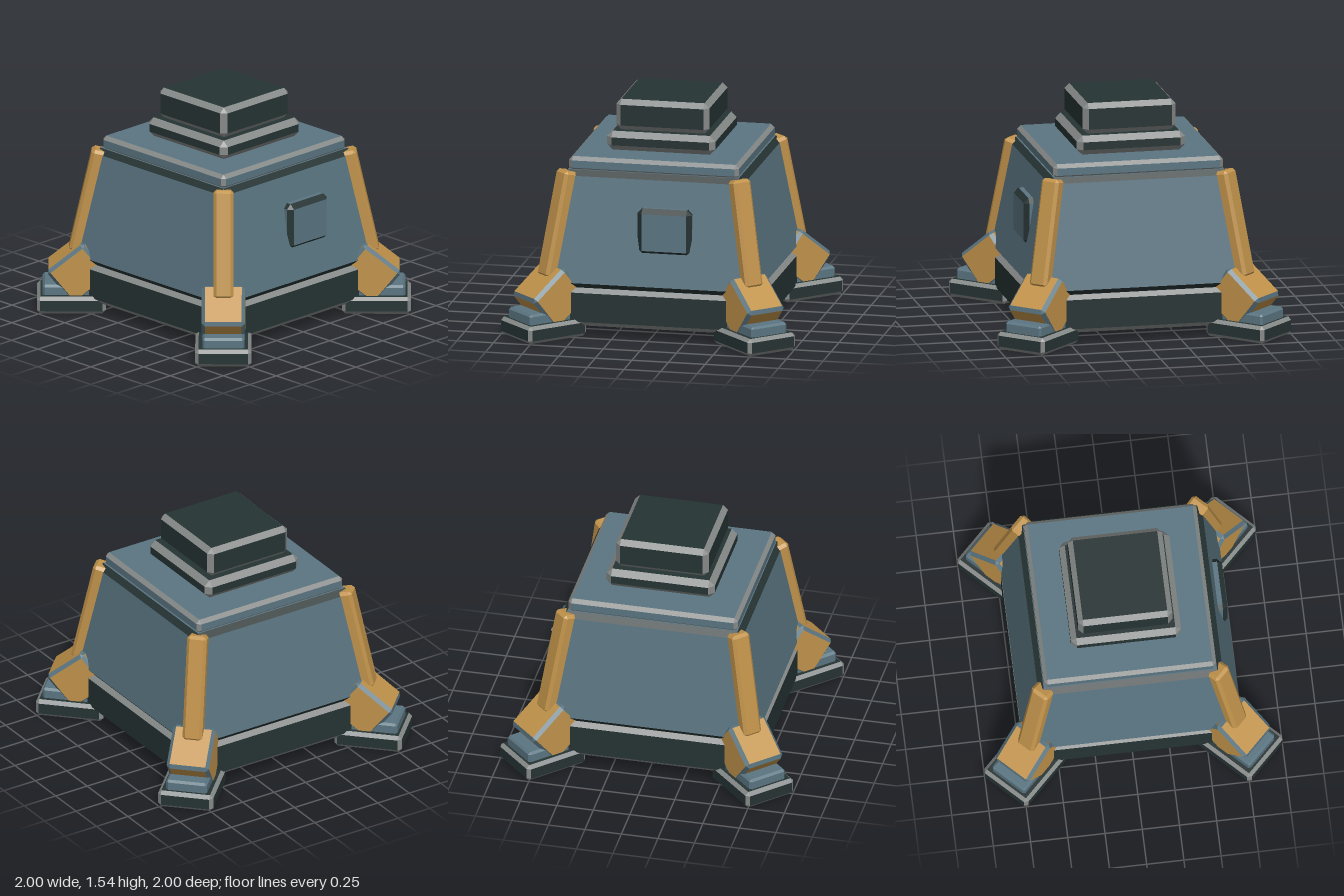
import * as THREE from 'three';

const mat = (name, color) => {
  const m = new THREE.MeshStandardMaterial({ color });
  m.name = name;
  return m;
};

// Box with chamfered edges: faces take material 0, chamfers material 1.
// taper narrows x and z towards the top.
function chamferBox(w, h, d, c, taper = 0) {
  const half = [w / 2, h / 2, d / 2];
  const pos = [];
  const point = (signs, axis) => {
    const p = half.map((v, i) => signs[i] * (i === axis ? v : v - c));
    const k = 1 - taper * p[1];
    return new THREE.Vector3(p[0] * k, p[1], p[2] * k);
  };
  const tri = (a, b, e) => {
    const n = b.clone().sub(a).cross(e.clone().sub(a));
    const list = n.dot(a) > 0 ? [a, b, e] : [a, e, b];
    list.forEach((v) => pos.push(v.x, v.y, v.z));
  };
  const quad = (a, b, e, f) => { tri(a, b, e); tri(a, e, f); };
  const signs = (entries) => {
    const s = [0, 0, 0];
    entries.forEach(([axis, v]) => { s[axis] = v; });
    return s;
  };
  // six main faces
  for (let a = 0; a < 3; a++) for (const s of [-1, 1]) {
    const u = (a + 1) % 3, v = (a + 2) % 3;
    const q = [[-1, -1], [1, -1], [1, 1], [-1, 1]];
    quad(...q.map(([m, n]) => point(signs([[a, s], [u, m], [v, n]]), a)));
  }
  const faceCount = pos.length / 3;
  // twelve edge chamfers
  for (let a = 0; a < 3; a++) for (const m of [-1, 1]) for (const n of [-1, 1]) {
    const u = (a + 1) % 3, v = (a + 2) % 3;
    const lo = signs([[a, -1], [u, m], [v, n]]);
    const hi = signs([[a, 1], [u, m], [v, n]]);
    quad(point(lo, u), point(hi, u), point(hi, v), point(lo, v));
  }
  // eight corner triangles
  for (const x of [-1, 1]) for (const y of [-1, 1]) for (const z of [-1, 1]) {
    tri(...[0, 1, 2].map((axis) => point([x, y, z], axis)));
  }
  const g = new THREE.BufferGeometry();
  g.setAttribute('position', new THREE.Float32BufferAttribute(pos, 3));
  g.addGroup(0, faceCount, 0);
  g.addGroup(faceCount, pos.length / 3 - faceCount, 1);
  g.computeVertexNormals();
  return g;
}

export function createModel() {
  const model = new THREE.Group();
  model.name = 'outpost';

  const slate = mat('slate blue panel', 0x5a7581);
  const dark = mat('dark metal', 0x263333);
  const grey = mat('worn grey edge', 0x868a89);
  const gold = mat('ochre strut', 0xc0924a);

  const add = (parent, name, geometry, face, edge, x, y, z, rx = 0) => {
    const mesh = new THREE.Mesh(geometry, [face, edge]);
    mesh.name = name;
    mesh.position.set(x, y, z);
    mesh.rotation.x = rx;
    parent.add(mesh);
    return mesh;
  };

  // Central stack
  add(model, 'base', chamferBox(1.47, 0.26, 1.47, 0.03), dark, grey, 0, 0.205, 0);
  add(model, 'body', chamferBox(1.355, 0.78, 1.355, 0.035, 0.239), slate, dark, 0, 0.725, 0);
  add(model, 'roof', chamferBox(1.16, 0.1, 1.16, 0.025), slate, grey, 0, 1.15, 0);
  add(model, 'lowerCap', chamferBox(0.74, 0.13, 0.74, 0.038), dark, grey, 0, 1.265, 0);
  add(model, 'upperCap', chamferBox(0.635, 0.21, 0.635, 0.034), dark, grey, 0, 1.435, 0);

  // Raised window on the left wall
  add(model, 'window', chamferBox(0.15, 0.32, 0.37, 0.033), slate, dark, 0.64, 0.74, -0.1);

  // Four corner legs, each built along local +z and turned to its corner
  const pad = chamferBox(0.376, 0.12, 0.46, 0.023);
  const plate = chamferBox(0.28, 0.1, 0.4, 0.015);
  const shin = chamferBox(0.29, 0.3, 0.32, 0.023);
  const post = chamferBox(0.135, 0.73, 0.14, 0.02);
  for (let i = 0; i < 4; i++) {
    const leg = new THREE.Group();
    leg.name = 'cornerLeg' + (i + 1);
    leg.rotation.y = Math.PI / 4 + (i * Math.PI) / 2;
    add(leg, 'footPad', pad, dark, grey, 0, 0.06, 1.018);
    add(leg, 'footPlate', plate, slate, slate, 0, 0.14, 1.01);
    add(leg, 'shin', shin, gold, slate, 0, 0.265, 0.97, 0.68);
    add(leg, 'cornerPost', post, gold, gold, 0, 0.748, 0.889, -0.219);
    model.add(leg);
  }
  return model;
}
